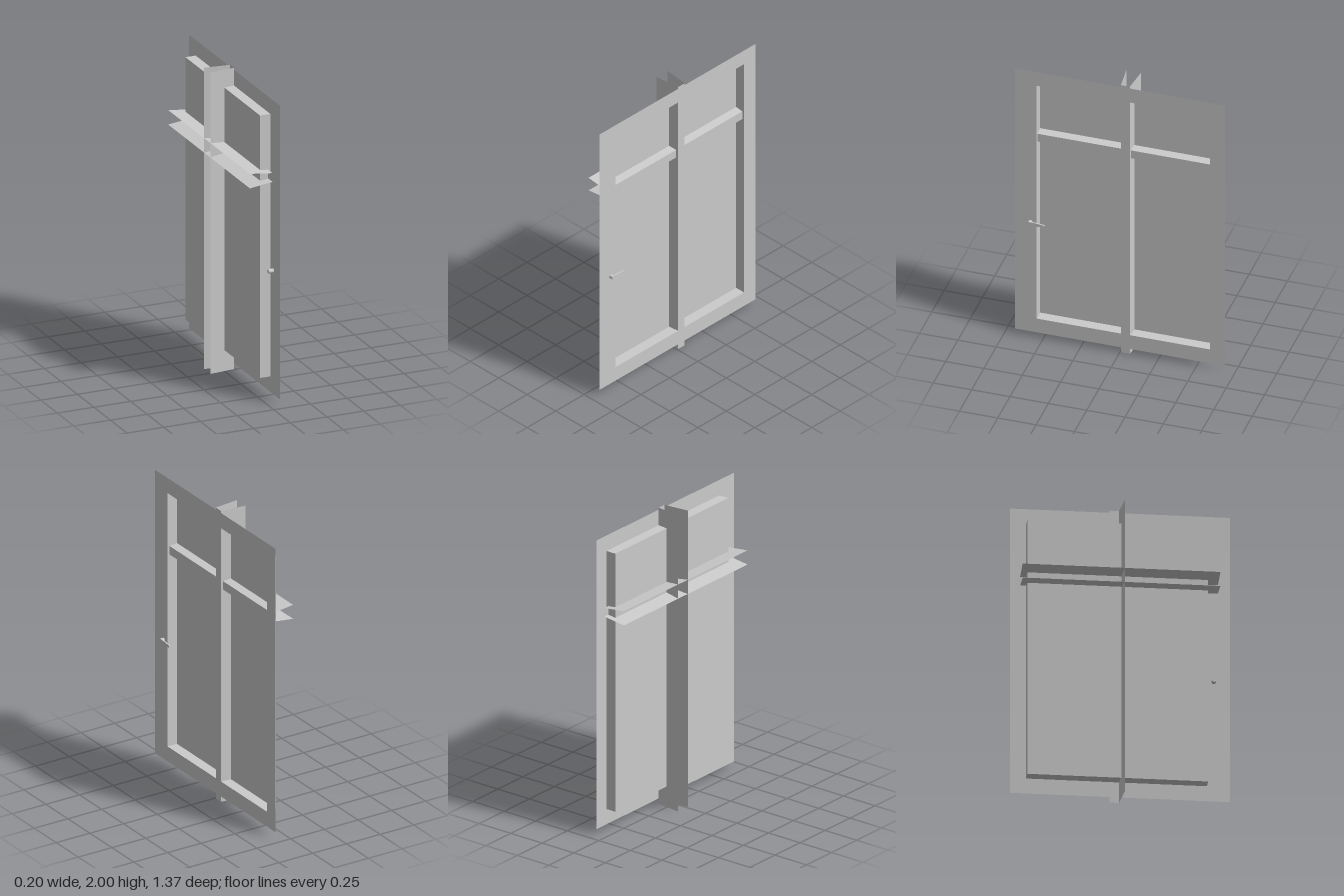
import * as THREE from 'three';

const sheetMat = new THREE.MeshStandardMaterial({ color: 0xcccccc, side: THREE.DoubleSide });
const solidMat = new THREE.MeshStandardMaterial({ color: 0xcccccc });

// Flat-shaded strip of quads joining two matching rows of points
function strip(name, rowA, rowB) {
  const pos = [];
  for (let i = 0; i < rowA.length - 1; i++) {
    const a = rowA[i], b = rowA[i + 1], c = rowB[i + 1], d = rowB[i];
    pos.push(...a, ...b, ...c, ...a, ...c, ...d);
  }
  const g = new THREE.BufferGeometry();
  g.setAttribute('position', new THREE.Float32BufferAttribute(pos, 3));
  g.computeVertexNormals();
  const m = new THREE.Mesh(g, sheetMat);
  m.name = name;
  return m;
}

// Closed rectangle outline in the (-z, y) plane
function rect(Type, z0, z1, y0, y1) {
  const p = new Type();
  p.moveTo(-z1, y0);
  p.lineTo(-z0, y0);
  p.lineTo(-z0, y1);
  p.lineTo(-z1, y1);
  p.closePath();
  return p;
}

export function createModel() {
  const group = new THREE.Group();
  const front = 0.07, back = -0.1;
  const z0 = -0.586, z1 = 0.543, y0 = 0.14, y1 = 1.882;

  // Thin front frame with the window opening
  const frameShape = rect(THREE.Shape, -0.686, 0.686, 0.037, 1.986);
  frameShape.holes.push(rect(THREE.Path, z0, z1, y0, y1));
  const frame = new THREE.Mesh(new THREE.ShapeGeometry(frameShape).rotateY(Math.PI / 2), sheetMat);
  frame.position.x = front;
  frame.name = 'frontFrame';
  group.add(frame);

  // Walls of the recess, running back to the pane
  const ring = x => [[x, y0, z0], [x, y1, z0], [x, y1, z1], [x, y0, z1], [x, y0, z0]];
  group.add(strip('recessWalls', ring(front), ring(0)));

  // Pane closing the recess
  const pane = new THREE.Mesh(new THREE.PlaneGeometry(z1 - z0, y1 - y0).rotateY(Math.PI / 2), sheetMat);
  pane.position.set(0, (y0 + y1) / 2, (z0 + z1) / 2);
  pane.name = 'pane';
  group.add(pane);

  // Glazing bars: channels that flare towards the open back
  const flare = (x, center, place) => [
    [back, center - 0.048], [x, center - 0.029], [x, center + 0.029], [back, center + 0.048],
  ].map(([px, s]) => place(px, s));
  const upright = y => flare(front, -0.035, (x, s) => [x, y, s]);
  const cross = z => flare(0.055, 1.485, (x, s) => [x, s, z]);
  group.add(strip('verticalBar', upright(0), upright(2)));
  group.add(strip('crossBar', cross(-0.625), cross(0.61)));

  // Handle: round spindle with a flat lever
  const handle = new THREE.Group();
  handle.name = 'handle';
  handle.position.set(0, 0.856, 0.585);
  const spindle = new THREE.Mesh(new THREE.CylinderGeometry(0.014, 0.014, 0.06, 24).rotateZ(Math.PI / 2), solidMat);
  spindle.position.x = 0.066;
  spindle.name = 'spindle';
  const outline = new THREE.Shape();
  outline.absarc(0, 0, 0.014, Math.PI / 2, Math.PI * 1.5, false);
  outline.lineTo(0.035, -0.013);
  outline.quadraticCurveTo(0.05, -0.013, 0.06, -0.01);
  outline.lineTo(0.092, -0.008);
  outline.absarc(0.092, 0, 0.008, -Math.PI / 2, Math.PI / 2, false);
  outline.lineTo(0.06, 0.01);
  outline.quadraticCurveTo(0.05, 0.013, 0.035, 0.013);
  outline.closePath();
  const lever = new THREE.Mesh(
    new THREE.ExtrudeGeometry(outline, { depth: 0.008, bevelEnabled: false, curveSegments: 10 }).rotateY(Math.PI / 2),
    solidMat);
  lever.position.x = 0.0885;
  lever.name = 'lever';
  handle.add(spindle, lever);
  group.add(handle);

  return group;
}
